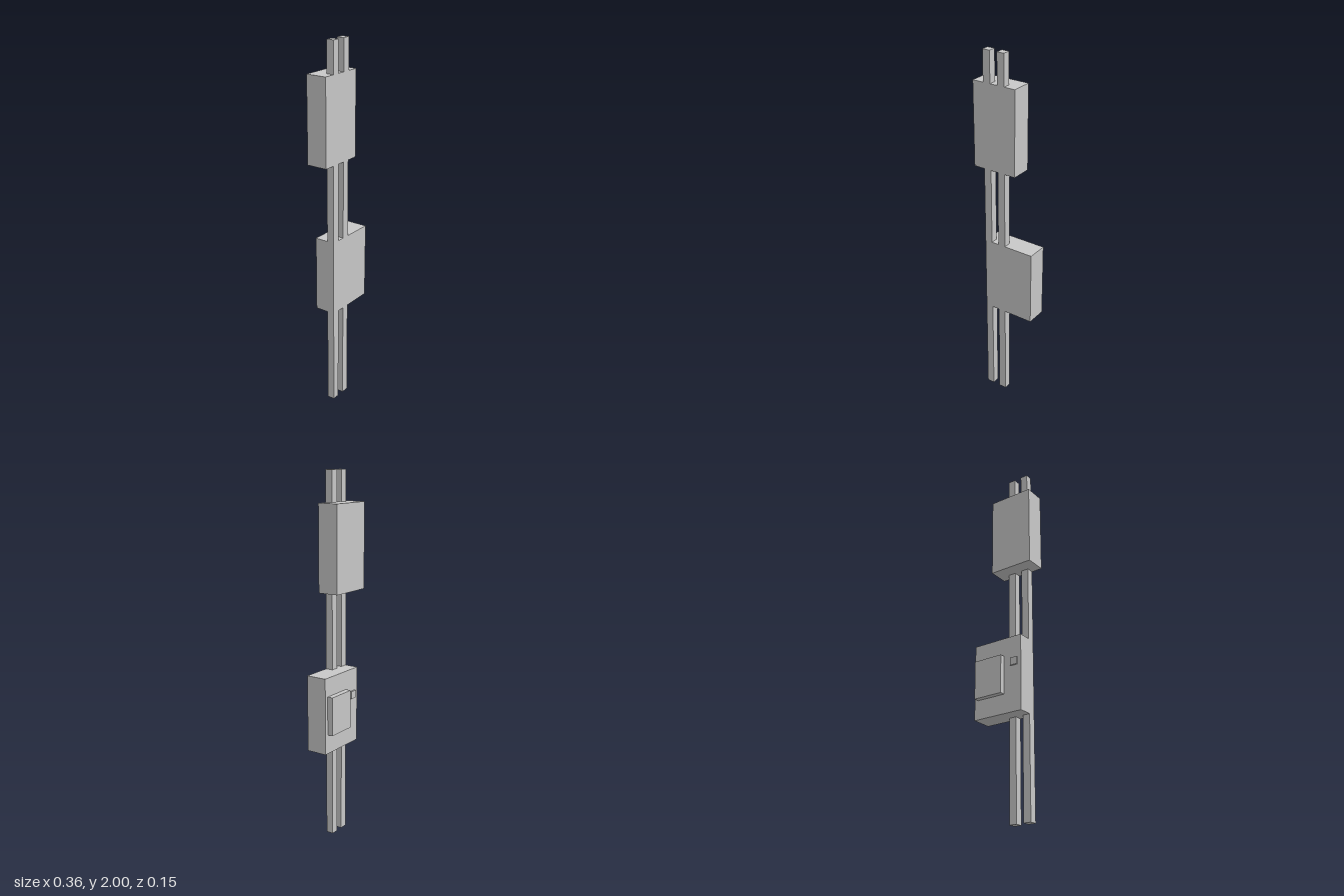
import * as THREE from 'three';

export function createModel() {
  const model = new THREE.Group();
  const grey = new THREE.MeshStandardMaterial({ color: 0xc8c8c8 });
  grey.name = 'light grey';

  // Box given by its lower and upper limits on each axis
  const block = (name, [x0, x1], [y0, y1], [z0, z1]) => {
    const mesh = new THREE.Mesh(new THREE.BoxGeometry(x1 - x0, y1 - y0, z1 - z0), grey);
    mesh.position.set((x0 + x1) / 2, (y0 + y1) / 2, (z0 + z1) / 2);
    mesh.name = name;
    model.add(mesh);
  };

  const back = -0.043, front = 0.072;

  // Twin upright rails, flush with the front of the boxes
  block('rightRail', [-0.116, -0.074], [0, 2], [0.031, front]);
  block('leftRail', [-0.032, 0.01], [0, 2], [0.031, front]);

  // Two boxes carried by the rails
  block('upperBox', [-0.178, 0.072], [1.378, 1.836], [back, front]);
  block('lowerBox', [-0.116, 0.177], [0.543, 0.958], [back, front]);

  // Raised panel and small button on the back of the lower box
  block('backPanel', [-0.011, 0.156], [0.648, 0.857], [-0.073, back]);
  block('backButton', [-0.094, -0.053], [0.794, 0.835], [-0.052, back]);

  return model;
}
